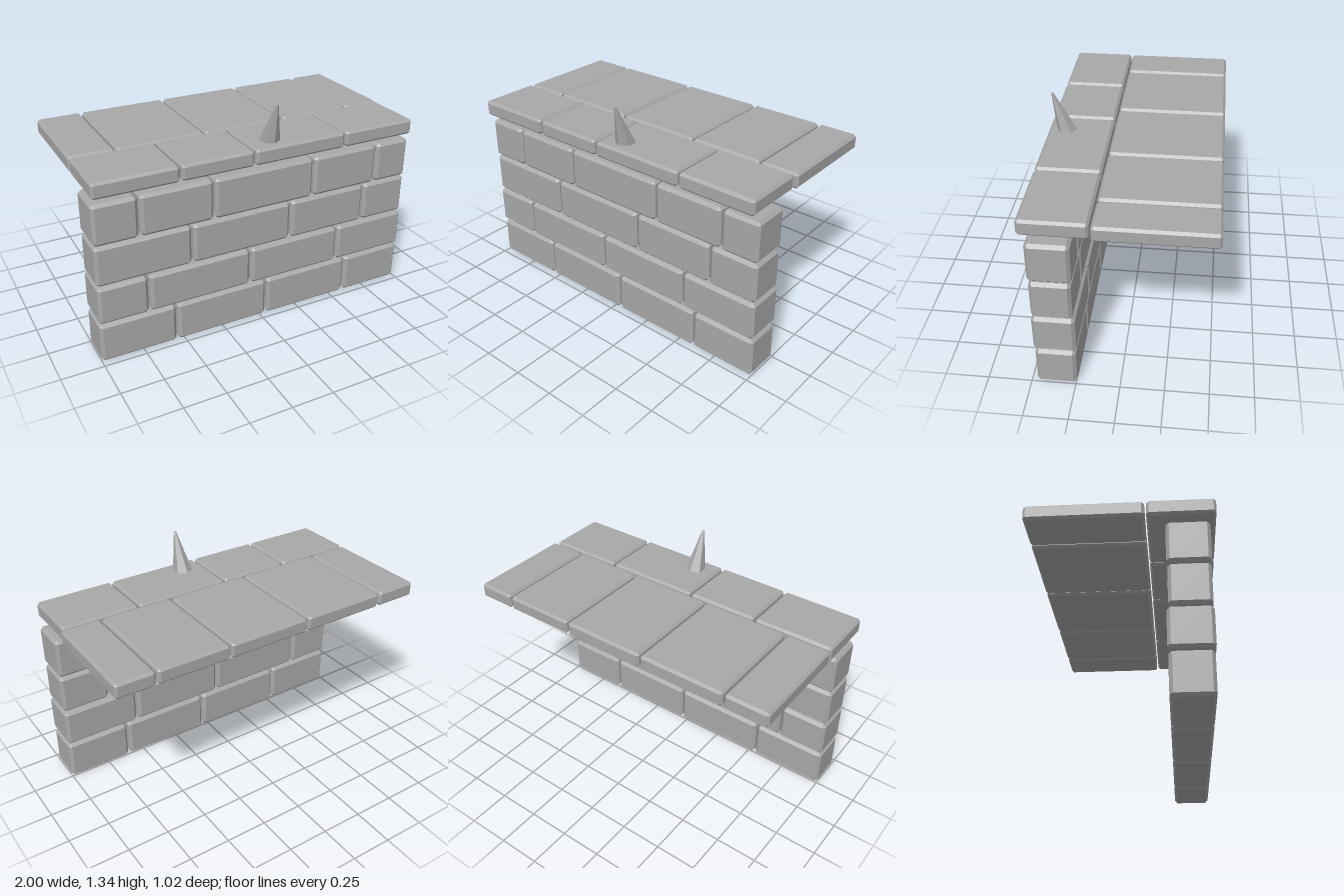
import * as THREE from 'three';
import { ConvexGeometry } from 'three/addons/geometries/ConvexGeometry.js';

// Box with chamfered edges spanning [min, max] on each axis
function chamferedBox([x0, x1], [y0, y1], [z0, z1], c) {
  const half = [(x1 - x0) / 2, (y1 - y0) / 2, (z1 - z0) / 2];
  const points = [];
  for (const sx of [-1, 1]) for (const sy of [-1, 1]) for (const sz of [-1, 1]) {
    for (let axis = 0; axis < 3; axis++) {
      const h = half.map((v, i) => (i === axis ? v : v - c));
      points.push(new THREE.Vector3(sx * h[0], sy * h[1], sz * h[2]));
    }
  }
  return new ConvexGeometry(points).translate((x0 + x1) / 2, (y0 + y1) / 2, (z0 + z1) / 2);
}

export function createModel() {
  const model = new THREE.Group();
  model.name = 'brickLedge';
  const stone = new THREE.MeshStandardMaterial({ color: 0xa8a8a8 });
  stone.name = 'stone grey';

  // One course of stones; joints are the x centres of the gaps
  function course(name, joints, y, z, chamfer, end = 1) {
    const group = new THREE.Group();
    group.name = name + 'Course';
    const xs = [-1, ...joints, end];
    const gap = 0.006;
    for (let i = 0; i < xs.length - 1; i++) {
      const a = xs[i] + (i > 0 ? gap : 0);
      const b = xs[i + 1] - (i < xs.length - 2 ? gap : 0);
      const mesh = new THREE.Mesh(chamferedBox([a, b], y, z, chamfer), stone);
      mesh.name = name;
      group.add(mesh);
    }
    model.add(group);
  }

  // Wall, bottom to top
  course('wallBrick', [-0.542, 0.04, 0.6], [0, 0.24], [0.243, 0.468], 0.018);
  course('wallBrick', [-0.705, -0.073, 0.525], [0.25, 0.48], [0.238, 0.475], 0.018);
  course('wallBrick', [-0.437, 0.19, 0.7], [0.487, 0.725], [0.247, 0.471], 0.018);
  course('wallBrick', [-0.74, -0.303, 0.332, 0.77], [0.732, 0.975], [0.242, 0.475], 0.018);

  // Floor slabs: front row over the wall, back row behind it
  course('frontSlab', [-0.513, -0.073, 0.512], [1.02, 1.113], [0.143, 0.51], 0.014, 0.985);
  course('backSlab', [-0.732, -0.198, 0.317, 0.763], [1.02, 1.11], [-0.51, 0.133], 0.014);

  // Leaning hexagonal spike, sheared towards the front
  const height = 0.23;
  const geo = new THREE.CylinderGeometry(0.007, 0.06, height, 6).translate(0, height / 2, 0);
  const pos = geo.attributes.position;
  for (let i = 0; i < pos.count; i++) pos.setZ(i, pos.getZ(i) + (pos.getY(i) / height) * 0.077);
  const faceted = geo.toNonIndexed();
  faceted.computeVertexNormals();
  const spike = new THREE.Mesh(faceted, stone);
  spike.name = 'spike';
  spike.position.set(0.068, 1.11, 0.403);
  model.add(spike);

  return model;
}
